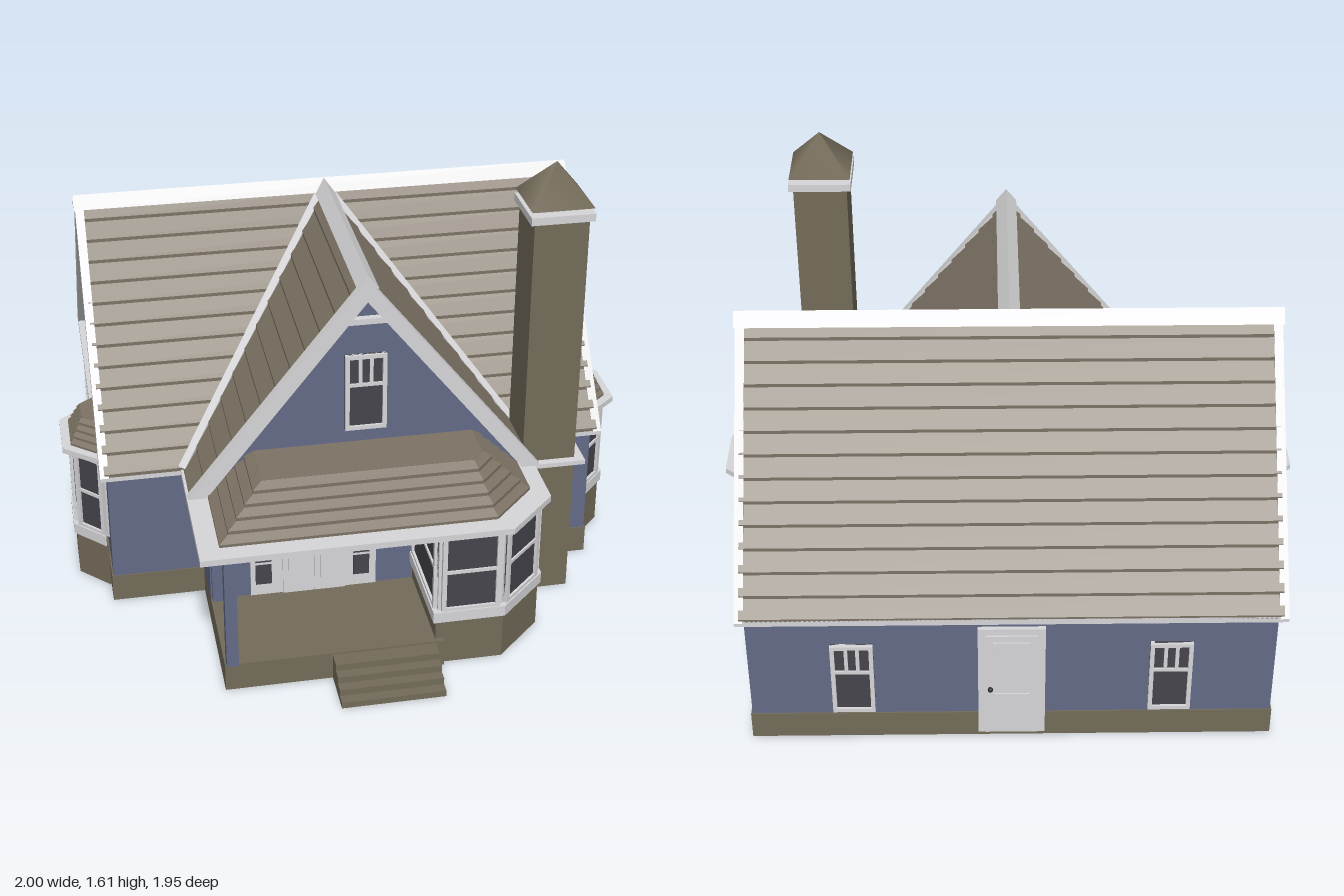
import * as THREE from 'three';

const paint = (name, color, side = THREE.FrontSide) => {
  const m = new THREE.MeshStandardMaterial({ color, side });
  m.name = name;
  return m;
};

export function createModel() {
  const house = new THREE.Group();
  house.name = 'house';
  const wall = paint('blue siding', 0x626a87);
  const stone = paint('brown stone', 0x736b59);
  const tiles = paint('roof shingles', 0x7d7365, THREE.DoubleSide);
  const trim = paint('white trim', 0xd6d6d8);
  const glass = paint('dark glass', 0x46444c);
  const metal = paint('dark metal', 0x24242a);

  const add = (name, geo, mat, parent = house) => {
    const m = new THREE.Mesh(geo, mat);
    m.name = name;
    parent.add(m);
    return m;
  };
  // Box given by its limits on each axis
  const box = (name, mat, [x0, x1], [y0, y1], [z0, z1], parent) => add(name,
    new THREE.BoxGeometry(x1 - x0, y1 - y0, z1 - z0)
      .translate((x0 + x1) / 2, (y0 + y1) / 2, (z0 + z1) / 2), mat, parent);
  // Upright prism over a plan of [x, z] points
  const prism = (name, mat, plan, y0, y1) => add(name,
    new THREE.ExtrudeGeometry(new THREE.Shape(plan.map(([x, z]) => new THREE.Vector2(x, -z))),
      { depth: y1 - y0, bevelEnabled: false }).rotateX(-Math.PI / 2).translate(0, y0, 0), mat);
  // Outline in x/y pushed along z
  const slab = (pts, depth) => new THREE.ExtrudeGeometry(
    new THREE.Shape(pts.map(p => new THREE.Vector2(...p))), { depth, bevelEnabled: false });
  // Inverted V used for bargeboards and ridge caps
  const chevron = (half, y0, apex, t, depth) => {
    const cut = t * half / (apex - y0);
    return slab([[-half, y0], [0, apex], [half, y0], [half - cut, y0], [0, apex - t], [cut - half, y0]], depth);
  };
  // Push an open plan outwards (points run left to right seen from outside)
  const grow = (plan, d) => plan.map((p, i) => {
    const normal = k => {
      const a = plan[k], b = plan[k + 1];
      return a && b ? new THREE.Vector2(a[1] - b[1], b[0] - a[0]).normalize() : null;
    };
    const n1 = normal(i - 1) || normal(i), n2 = normal(i) || n1;
    const s = d / (1 + n1.dot(n2));
    return [p[0] + (n1.x + n2.x) * s, p[1] + (n1.y + n2.y) * s];
  });
  // Overlapping shingle courses between a lower and an upper line of points
  const shingles = (name, low, high, rows, lift = 0.012) => {
    const pos = [];
    const at = (k, t, up) => {
      const p = new THREE.Vector3(...low[k]).lerp(new THREE.Vector3(...high[k]), t);
      return [p.x, p.y + up, p.z];
    };
    const quad = (a, b, c, d) => pos.push(...a, ...b, ...c, ...a, ...c, ...d);
    for (let r = 0; r < rows; r++) {
      const t0 = r / rows, t1 = (r + 1) / rows;
      for (let k = 0; k < low.length - 1; k++) {
        quad(at(k, t0, 0), at(k + 1, t0, 0), at(k + 1, t0, lift), at(k, t0, lift));
        quad(at(k, t0, lift), at(k + 1, t0, lift), at(k + 1, t1, 0), at(k, t1, 0));
      }
    }
    const g = new THREE.BufferGeometry();
    g.setAttribute('position', new THREE.Float32BufferAttribute(pos, 3));
    g.computeVertexNormals();
    return add(name, g, tiles);
  };
  // Framed window in its own group, facing +z; bars are vertical dividers of the upper sash
  const windowAt = (name, x, y, z, turn, w, h, { bars = 0, split = 0, f = 0.014 } = {}) => {
    const g = new THREE.Group();
    g.name = name;
    g.position.set(x, y, z);
    g.rotation.y = turn;
    house.add(g);
    box('pane', glass, [-w / 2, w / 2], [-h / 2, h / 2], [-0.004, 0.004], g);
    for (const s of [-1, 1]) {
      box('jamb', trim, [s * (w - f) / 2 - f / 2, s * (w - f) / 2 + f / 2], [-h / 2, h / 2], [-0.004, 0.014], g);
      box('rail', trim, [-w / 2, w / 2], [s * (h - f) / 2 - f / 2, s * (h - f) / 2 + f / 2], [-0.004, 0.013], g);
    }
    const ys = h * (split - 0.5);
    if (split) box('sash bar', trim, [-w / 2, w / 2], [ys - 0.006, ys + 0.006], [0, 0.01], g);
    for (let i = 1; i <= bars; i++) {
      const bx = -w / 2 + f + (w - 2 * f) * i / (bars + 1);
      box('divider', trim, [bx - 0.006, bx + 0.006], [ys, h / 2], [0, 0.01], g);
    }
  };
  // Window filling one edge of a bay plan
  const bayWindow = (a, b) => {
    const dx = b[0] - a[0], dz = b[1] - a[1];
    windowAt('bayWindow', (a[0] + b[0]) / 2, 0.36, (a[1] + b[1]) / 2, Math.atan2(-dz, dx),
      Math.hypot(dx, dz) - 0.02, 0.31, { split: 0.5, f: 0.016 });
  };
  const bay = (plan, from) => {
    prism('bayBase', stone, grow(plan, 0.008), 0, 0.17);
    prism('baySill', trim, grow(plan, 0.018), 0.17, 0.21);
    prism('bayBody', trim, plan, 0.2, 0.52);
    for (let i = from; i < plan.length - 1; i++) bayWindow(plan[i], plan[i + 1]);
  };

  // Main block, front wing and their stone footing
  box('footing', stone, [-0.865, 0.865], [0, 0.1], [-0.935, 0.235]);
  box('mainWalls', wall, [-0.86, 0.86], [0.1, 0.53], [-0.93, 0.23]);
  box('wingWalls', wall, [-0.54, 0.55], [0.1, 0.53], [0.2, 0.43]);
  add('mainGables', slab([[-0.59, 0.53], [0.59, 0.53], [0, 1.24]], 1.71), wall)
    .geometry.rotateY(Math.PI / 2).translate(-0.855, 0, -0.35);
  add('wingGable', slab([[-0.56, 0.53], [0.56, 0.53], [0, 1.23]], 0.78), wall).position.z = -0.35;

  // Porch deck, steps and post
  box('porchDeck', stone, [-0.54, 0.2], [0, 0.1], [0.2, 0.81]);
  for (let i = 0; i < 4; i++)
    box('step', stone, [-0.18, 0.17], [0, 0.022 + i * 0.024], [0.8, 0.975 - i * 0.036]);
  box('porchPost', wall, [-0.535, -0.495], [0.1, 0.52], [0.78, 0.82]);
  box('wallPost', wall, [-0.535, -0.495], [0.1, 0.52], [0.42, 0.45]);

  // Flat white eaves
  box('mainEaves', trim, [-0.885, 0.885], [0.513, 0.535], [-0.97, 0.27]);
  prism('porchEaves', trim, [[-0.61, 0.2], [-0.61, 0.83], [0.42, 0.83], [0.59, 0.66], [0.59, 0.2]], 0.512, 0.534);
  box('chimneyEaves', trim, [0.5, 0.77], [0.517, 0.533], [0.2, 0.46]);

  // Main roof, ridge cap and bargeboards
  const R = 0.87;
  shingles('mainRoofFront', [[-R, 0.53, 0.27], [R, 0.53, 0.27]], [[-R, 1.285, -0.35], [R, 1.285, -0.35]], 13);
  shingles('mainRoofBack', [[R, 0.53, -0.97], [-R, 0.53, -0.97]], [[R, 1.285, -0.35], [-R, 1.285, -0.35]], 13);
  add('mainRidge', chevron(0.036, 1.268, 1.312, 0.03, 1.78), trim)
    .geometry.rotateY(Math.PI / 2).translate(-0.89, 0, -0.35);
  for (const s of [-1, 1]) {
    add('mainBargeboard', chevron(0.625, 0.53, 1.3, 0.075, 0.03), trim)
      .geometry.rotateY(Math.PI / 2).translate(s * 0.87 - 0.015, 0, -0.35);
    box('gableCollar', trim, [s * 0.867 - 0.013, s * 0.867 + 0.013], [1.13, 1.15], [-0.44, -0.26]);
  }

  // Wing roof
  for (const s of [-1, 1]) {
    const low = [[s * 0.6, 0.53, 0.45], [s * 0.6, 0.53, -0.35]];
    const high = [[0, 1.28, 0.45], [0, 1.28, -0.35]];
    if (s < 0) { low.reverse(); high.reverse(); }
    shingles('wingRoof', low, high, 12);
    // Valley strip where the two roofs meet
    const a = new THREE.Vector3(0, 1.28, -0.34), b = new THREE.Vector3(s * 0.6, 0.535, 0.27);
    const strip = add('valley', new THREE.BoxGeometry(0.03, 0.03, a.distanceTo(b)), trim);
    strip.position.copy(a).lerp(b, 0.5);
    strip.lookAt(b);
  }
  add('wingRidge', chevron(0.036, 1.265, 1.31, 0.03, 0.82), trim).position.z = -0.35;
  add('wingBargeboard', chevron(0.61, 0.53, 1.295, 0.08, 0.035), trim).position.z = 0.43;
  box('wingCollar', trim, [-0.09, 0.09], [1.13, 1.15], [0.42, 0.455]);

  // Porch roof
  const lift = (plan, y) => plan.map(([x, z]) => [x, y, z]);
  const porchTop = [[-0.38, 0.42], [-0.38, 0.62], [0.33, 0.62], [0.37, 0.57], [0.37, 0.42]];
  shingles('porchRoof',
    lift([[-0.54, 0.42], [-0.54, 0.765], [0.38, 0.765], [0.53, 0.61], [0.53, 0.42]], 0.532),
    lift(porchTop, 0.68), 5);
  prism('porchRoofTop', tiles, porchTop, 0.665, 0.681);

  // Front bay beside the porch
  bay([[0.18, 0.42], [0.18, 0.785], [0.4, 0.785], [0.56, 0.63], [0.56, 0.42]], 0);

  // Side bays
  for (const s of [1, -1]) {
    const side = pts => {
      const p = pts.map(([x, z]) => [s * x, z]);
      return s < 0 ? p.reverse() : p;
    };
    const plan = side([[0.86, 0.135], [0.962, 0.03], [0.962, -0.13], [0.86, -0.235]]);
    bay(plan, 0);
    prism('bayEaves', trim, side([[0.84, 0.18], [0.88, 0.15], [1, 0.05], [1, -0.15], [0.88, -0.25], [0.84, -0.28]]), 0.513, 0.533);
    const top = side([[0.86, 0.05], [0.925, 0], [0.925, -0.1], [0.86, -0.15]]);
    shingles('bayRoof', lift(side([[0.86, 0.13], [0.97, 0.035], [0.97, -0.135], [0.86, -0.235]]), 0.532), lift(top, 0.62), 4, 0.009);
    prism('bayRoofTop', tiles, top, 0.61, 0.621);
    // Gable and small side windows
    windowAt('gableWindow', s * 0.86, 0.873, -0.35, s * Math.PI / 2, 0.14, 0.28, { bars: 2, split: 0.6 });
    windowAt('sideWindow', s * 0.865, 0.305, -0.717, s * Math.PI / 2, 0.15, 0.2);
    // Back windows
    windowAt('backWindow', s * 0.52, 0.26, -0.935, Math.PI, 0.14, 0.285, { bars: 2, split: 0.6 });
  }
  windowAt('frontGableWindow', 0, 0.873, 0.435, 0, 0.14, 0.28, { bars: 2, split: 0.6 });

  // Front double door with sidelights
  box('doorSurround', trim, [-0.4, 0.04], [0.1, 0.513], [0.42, 0.436]);
  for (const x of [-0.234, -0.122]) {
    box('doorLeaf', trim, [x - 0.054, x + 0.054], [0.102, 0.5], [0.43, 0.444]);
    box('doorPanel', trim, [x - 0.036, x + 0.036], [0.14, 0.48], [0.44, 0.449]);
  }
  for (const x of [-0.19, -0.166])
    add('doorKnob', new THREE.SphereGeometry(0.009, 10, 8), metal).position.set(x, 0.29, 0.455);
  for (const x of [-0.355, -0.012])
    for (let i = 0; i < 4; i++)
      box('sidelight', glass, [x - 0.028, x + 0.028], [0.145 + i * 0.09, 0.223 + i * 0.09], [0.432, 0.44]);

  // Back door
  box('backDoorFrame', trim, [-0.11, 0.11], [0.02, 0.47], [-0.945, -0.92]);
  box('backDoorLeaf', trim, [-0.085, 0.085], [0.025, 0.445], [-0.951, -0.93]);
  for (const [y0, y1] of [[0.05, 0.2], [0.23, 0.42]])
    box('backDoorPanel', trim, [-0.06, 0.06], [y0, y1], [-0.956, -0.94]);
  add('backDoorKnob', new THREE.SphereGeometry(0.009, 10, 8), metal).position.set(0.07, 0.22, -0.957);

  // Chimney with a hipped cap
  box('chimneyStack', stone, [0.553, 0.738], [0, 1.435], [0.248, 0.432]);
  box('chimneyCollar', trim, [0.538, 0.753], [1.43, 1.457], [0.233, 0.447]);
  box('chimneyNeck', trim, [0.575, 0.716], [1.45, 1.48], [0.27, 0.41]);
  add('chimneyCap', new THREE.ConeGeometry(0.105 * Math.SQRT2, 0.13, 4, 1).rotateY(Math.PI / 4), stone)
    .position.set(0.645, 1.54, 0.34);

  return house;
}
